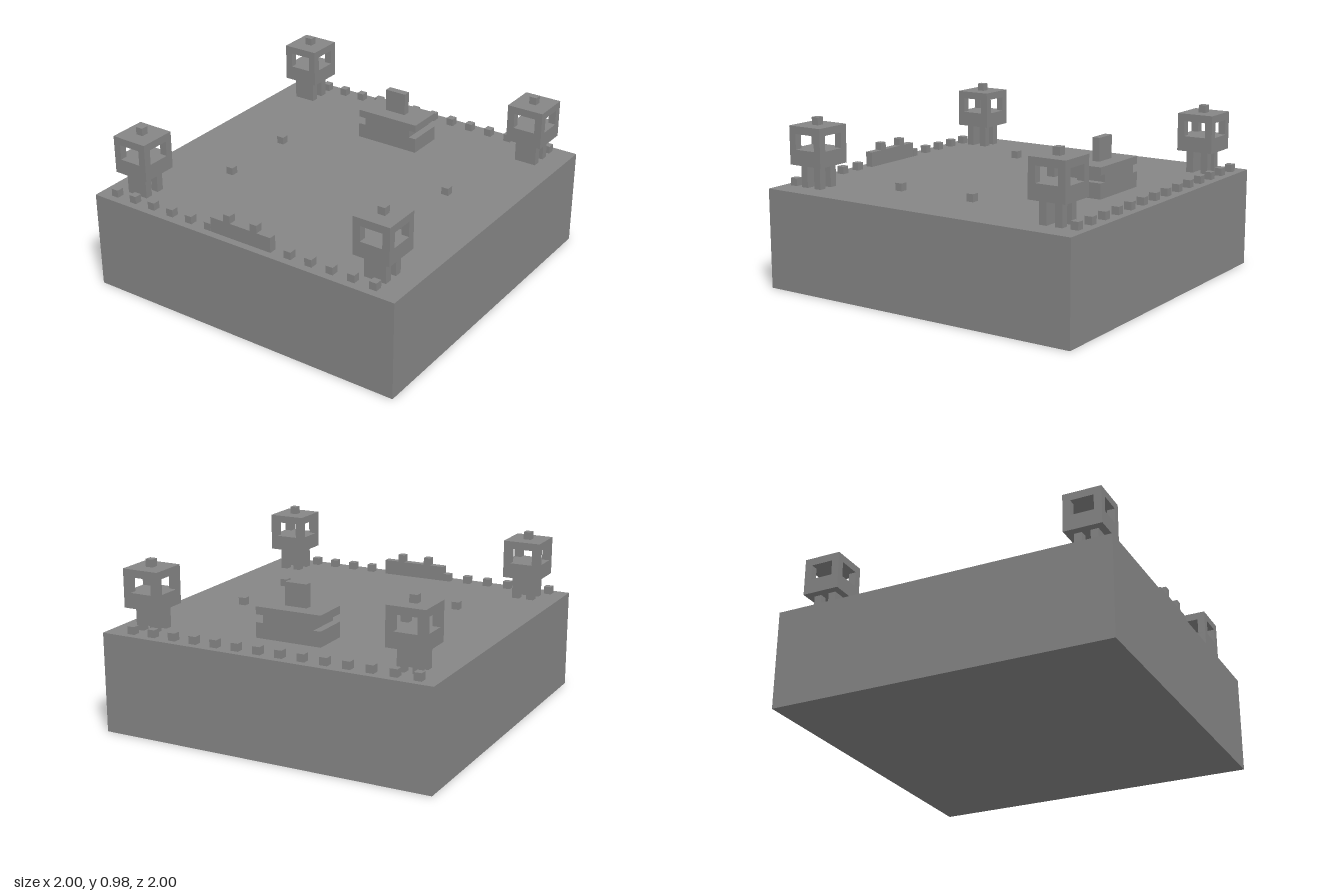
import * as THREE from 'three';

const U = 0.0445;      // block unit
const TOP = 0.58;      // height of the base
const stone = new THREE.MeshStandardMaterial({ color: 0x868686 });
stone.name = 'stone grey';

// box given by centre x, z, its bottom y, and its size
function block(parent, name, x, y, z, w, h, d) {
  const mesh = new THREE.Mesh(new THREE.BoxGeometry(w, h, d), stone);
  mesh.name = name;
  mesh.position.set(x, y + h / 2, z);
  parent.add(mesh);
  return mesh;
}

function group(parent, name, x, y, z) {
  const g = new THREE.Group();
  g.name = name;
  g.position.set(x, y, z);
  parent.add(g);
  return g;
}

// lookout tower: front panel, two rear legs, open cabin, roof knob
function tower(parent, x, z) {
  const t = group(parent, 'cornerTower', x, TOP, z);
  block(t, 'frontLegPanel', 0, 0, 1.1 * U, 3 * U, 3 * U, U);
  for (const s of [-1, 1]) block(t, 'rearLeg', s * U, 0, -U, U, 3 * U, U);
  block(t, 'cabinFloor', 0, 3 * U, 0, 5 * U, 2 * U, 5 * U);
  for (const sx of [-1, 1]) for (const sz of [-1, 1])
    block(t, 'cabinPost', sx * 2 * U, 5 * U, sz * 2 * U, U, 2 * U, U);
  block(t, 'cabinRoof', 0, 7 * U, 0, 5 * U, U, 5 * U);
  block(t, 'roofKnob', 0, 8 * U, 0, U, U, U);
}

export function createModel() {
  const model = new THREE.Group();
  model.name = 'fortress';

  block(model, 'base', 0, 0, 0, 2, TOP, 2);

  for (const x of [-0.8, 0.8]) for (const z of [-0.8, 0.8]) tower(model, x, z);

  // battlements along the back and front edges
  for (let i = 0; i < 14; i++) {
    const x = -0.893 + i * 0.1335;
    block(model, 'backMerlon', x, TOP, -0.936, U, U, U);
    if (i < 6 || i > 8) block(model, 'frontMerlon', x, TOP, 0.934, U, U, U);
  }

  // gate wall with two teeth
  const gate = group(model, 'gateWall', 0, TOP, 0.934);
  block(gate, 'wall', 0, 0, 0, 9 * U, 2 * U, U);
  for (const s of [-1, 1]) block(gate, 'wallTooth', s * 2 * U, 2 * U, 0, U, U, U);

  // keep with a recessed waist and an upright slab on its roof
  const keep = group(model, 'keep', 0, TOP, -0.58);
  block(keep, 'keepBase', 0, 0, 0, 9 * U, 2 * U, 5 * U);
  block(keep, 'keepWaist', 0, 2 * U, 0, 7 * U, U, 5 * U);
  block(keep, 'keepRoof', 0, 3 * U, 0, 9 * U, U, 5 * U);
  block(keep, 'roofSlab', 0, 4 * U, 0, 3 * U, 3 * U, U);

  // loose blocks in the yard
  for (const x of [-0.535, 0.62]) for (const z of [-0.135, 0.355])
    block(model, 'yardBlock', x, TOP, z, U, U, U);

  return model;
}
